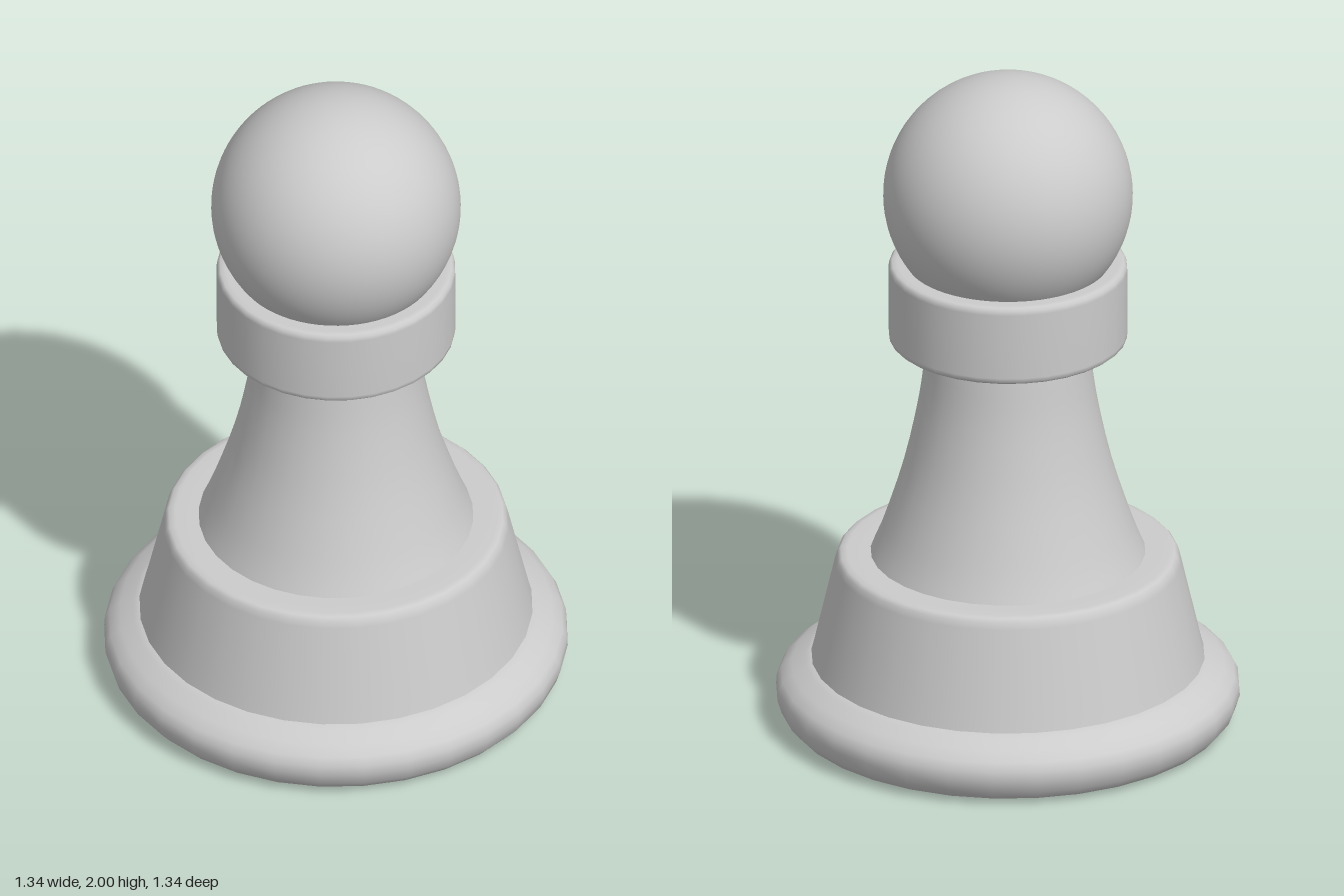
import * as THREE from 'three';

const SIDES = 32;

export function createModel() {
  const group = new THREE.Group();
  const material = new THREE.MeshStandardMaterial({ color: 0xcccccc });

  const add = (name, geometry) => {
    const mesh = new THREE.Mesh(geometry, material);
    mesh.name = name;
    group.add(mesh);
    return mesh;
  };
  // Profile of [radius, height] pairs, listed from bottom to top
  const turn = (name, profile) =>
    add(name, new THREE.LatheGeometry(profile.map(([r, y]) => new THREE.Vector2(r, y)), SIDES));

  // Rounded foot with a flat underside
  turn('base', [
    [0, 0], [0.59, 0], [0.6, 0.002], [0.635, 0.015], [0.658, 0.042], [0.67, 0.08],
    [0.668, 0.11], [0.655, 0.135], [0.625, 0.16], [0.585, 0.18], [0.565, 0.192], [0.5, 0.2],
  ]);

  // Tapered step, closed by a flat ledge with a softened rim
  turn('plinth', [
    [0.572, 0.17], [0.568, 0.19], [0.56, 0.22], [0.499, 0.485], [0.493, 0.505],
    [0.483, 0.515], [0.465, 0.518], [0.42, 0.518], [0.3, 0.518],
  ]);

  // Flared stem
  const stem = new THREE.SplineCurve([
    [0.398, 0.515], [0.36, 0.61], [0.3, 0.8], [0.257, 1.0], [0.238, 1.15], [0.23, 1.2],
  ].map(([r, y]) => new THREE.Vector2(r, y)));
  add('stem', new THREE.LatheGeometry(stem.getPoints(15), SIDES));

  // Collar with small bevels
  turn('collar', [
    [0.2, 1.188], [0.32, 1.188], [0.335, 1.19], [0.343, 1.197], [0.345, 1.21],
    [0.345, 1.408], [0.343, 1.421], [0.335, 1.428], [0.32, 1.43], [0.2, 1.43],
  ]);

  // Ball head
  add('head', new THREE.SphereGeometry(0.36, 64, 40)).position.y = 1.64;

  return group;
}
